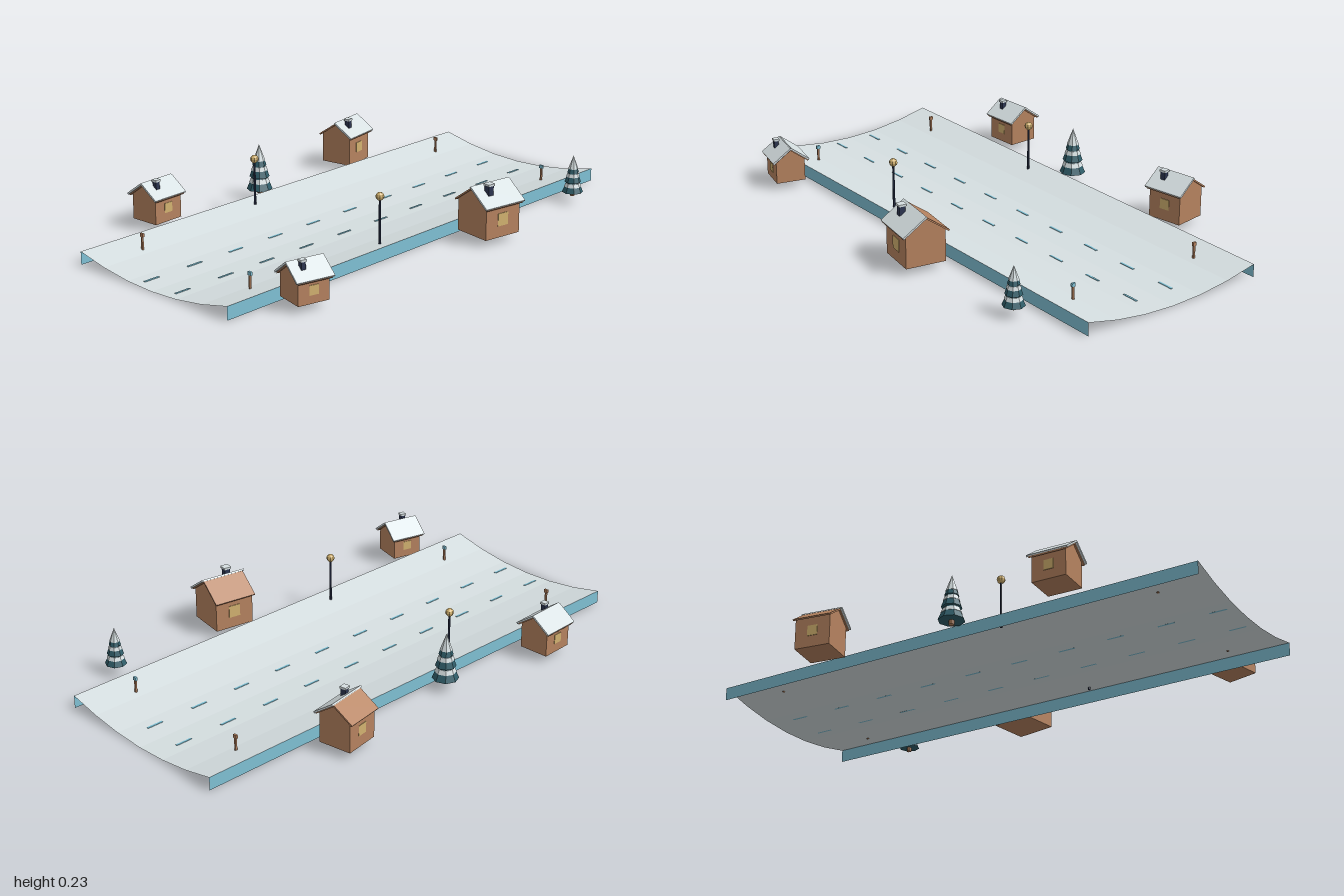
import * as THREE from 'three';

const mat = (name, color, double = false) => {
  const m = new THREE.MeshStandardMaterial({ color });
  m.name = name;
  if (double) m.side = THREE.DoubleSide;
  return m;
};

// facet a geometry so every face is flat
const flat = (g) => {
  const f = g.index ? g.toNonIndexed() : g;
  f.computeVertexNormals();
  return f;
};

export function createModel() {
  const snow = mat('snow', 0xd6dfe1, true);
  const wood = mat('wood', 0xb5825f);
  const ice = mat('ice blue', 0x7fc0d4, true);
  const needles = mat('pine teal', 0x2f5d69);
  const iron = mat('dark navy', 0x2c3550);
  const glow = mat('warm light', 0xd2b270);

  const model = new THREE.Group();
  model.name = 'snowyRoad';

  const add = (parent, name, geo, material, x = 0, y = 0, z = 0) => {
    const m = new THREE.Mesh(geo, material);
    m.name = name;
    m.position.set(x, y, z);
    parent.add(m);
    return m;
  };
  const box = (w, h, d) => new THREE.BoxGeometry(w, h, d);
  const group = (name, x, z, parent = model) => {
    const g = new THREE.Group();
    g.name = name;
    g.position.set(x, 0, z);
    parent.add(g);
    return g;
  };

  // Road: a shallow valley-shaped sheet with a thin skirt on each long side
  const HALF = 0.375, RIM = 0.05;
  const road = group('road', -0.007, 0);
  const sheet = new THREE.PlaneGeometry(HALF * 2, 2, 6, 1).rotateX(-Math.PI / 2);
  const p = sheet.attributes.position;
  for (let i = 0; i < p.count; i++) p.setY(i, RIM * (p.getX(i) / HALF) ** 2);
  add(road, 'roadSurface', flat(sheet), snow);
  for (const s of [-1, 1]) {
    const skirt = new THREE.PlaneGeometry(2, RIM).rotateY(s * Math.PI / 2);
    add(road, 'roadSkirt', skirt, ice, s * HALF, RIM / 2, 0);
    // lane dashes follow the slope of the sheet
    for (let i = 0; i < 10; i++) {
      const dash = add(road, 'laneDash', box(0.008, 0.002, 0.066), ice, s * 0.08, 0.0045, -0.87 + i * 0.2);
      dash.rotation.z = s * 0.044;
    }
    // marker posts
    for (const z of [-0.8, 0.8]) {
      const post = group('markerPost', s * 0.276, z, road);
      add(post, 'post', box(0.007, 0.055, 0.007), wood, 0, 0.0525, 0);
      add(post, 'postHead', box(0.015, 0.013, 0.008), s < 0 ? wood : ice, 0, 0.083, 0);
    }
    // street lamps
    const lamp = group('streetLamp', s * 0.32, 0.2, road);
    add(lamp, 'lampPole', flat(new THREE.CylinderGeometry(0.004, 0.005, 0.178, 6)), iron, 0, 0.117, 0);
    add(lamp, 'lampGlobe', flat(new THREE.SphereGeometry(0.016, 8, 6)), glow, 0, 0.218, 0);
  }

  // Houses: gabled body, pitched roof, snow slabs, chimney and side windows
  const BASE = 0.027;
  function house(x, z, turn, w, l, wallTop, ridge, snowSides) {
    const g = group('house', x, z);
    g.rotation.y = turn;
    const shape = new THREE.Shape([
      [-w / 2, BASE], [w / 2, BASE], [w / 2, wallTop], [0, ridge], [-w / 2, wallTop],
    ].map(([a, b]) => new THREE.Vector2(a, b)));
    add(g, 'houseBody', new THREE.ExtrudeGeometry(shape, { depth: l, bevelEnabled: false }), wood, 0, 0, -l / 2);

    const pitch = Math.atan2(ridge - wallTop, w / 2);
    const slab = (name, s, run, len, thick, lift, material) => {
      const m = add(g, name, box(run / Math.cos(pitch), thick, len), material,
        s * run / 2, ridge - run / 2 * Math.tan(pitch) + lift, 0);
      m.rotation.z = -s * pitch;
    };
    for (const s of [-1, 1]) {
      slab('roofSlope', s, w / 2 + 0.012, l + 0.012, 0.006, 0.003, wood);
      if (snowSides.includes(s)) slab('roofSnow', s, w / 2 + 0.014, l + 0.026, 0.007, 0.009, snow);
      const size = w * 0.31;
      add(g, 'window', box(0.004, size, size), glow, s * w / 2, BASE + (wallTop - BASE) * 0.55, 0);
    }

    const top = ridge + 0.016, cw = w * 0.15, low = wallTop;
    add(g, 'chimney', box(cw, top - low, cw), iron, w * 0.25, (top + low) / 2, l * 0.22);
    add(g, 'chimneySnow', box(cw * 1.3, 0.008, cw * 1.3), snow, w * 0.25, top + 0.002, l * 0.22);
  }
  house(-0.49, -0.475, 0.17, 0.13, 0.14, 0.145, 0.19, [1]);
  house(0.49, -0.197, -0.165, 0.155, 0.16, 0.15, 0.205, [1]);
  house(-0.508, 0.533, 0.045, 0.12, 0.13, 0.125, 0.168, [-1, 1]);
  house(0.46, 0.732, -0.24, 0.115, 0.122, 0.115, 0.158, [-1, 1]);

  // Pines: three stacked cones, each with a snowy band, and a snowy tip
  function pine(x, z, r, height) {
    const g = group('pineTree', x, z);
    const frustum = (name, rt, rb, y0, y1, material) =>
      add(g, name, flat(new THREE.CylinderGeometry(rt, rb, y1 - y0, 8)), material, 0, (y0 + y1) / 2, 0);
    frustum('trunk', r * 0.2, r * 0.22, 0.026, 0.055, wood);
    const y0 = 0.042, h = height - y0;
    [[1, 0, 0.36], [0.78, 0.28, 0.62], [0.55, 0.54, 1]].forEach(([k, a, b], i) => {
      const rb = r * k, bottom = y0 + h * a, top = y0 + h * b;
      const rt = i === 2 ? 0 : rb * 0.45;
      frustum('needles', rt, rb, bottom, top, needles);
      const from = i === 2 ? 0.22 : 0.42, to = i === 2 ? 1 : 0.68;
      const radius = (t) => rb + (rt - rb) * t + 0.002;
      frustum(i === 2 ? 'snowTip' : 'snowBand', i === 2 ? 0 : radius(to), radius(from),
        bottom + (top - bottom) * from, bottom + (top - bottom) * to, snow);
    });
  }
  pine(-0.441, 0.065, 0.05, 0.222);
  pine(0.471, -0.735, 0.041, 0.188);

  return model;
}
